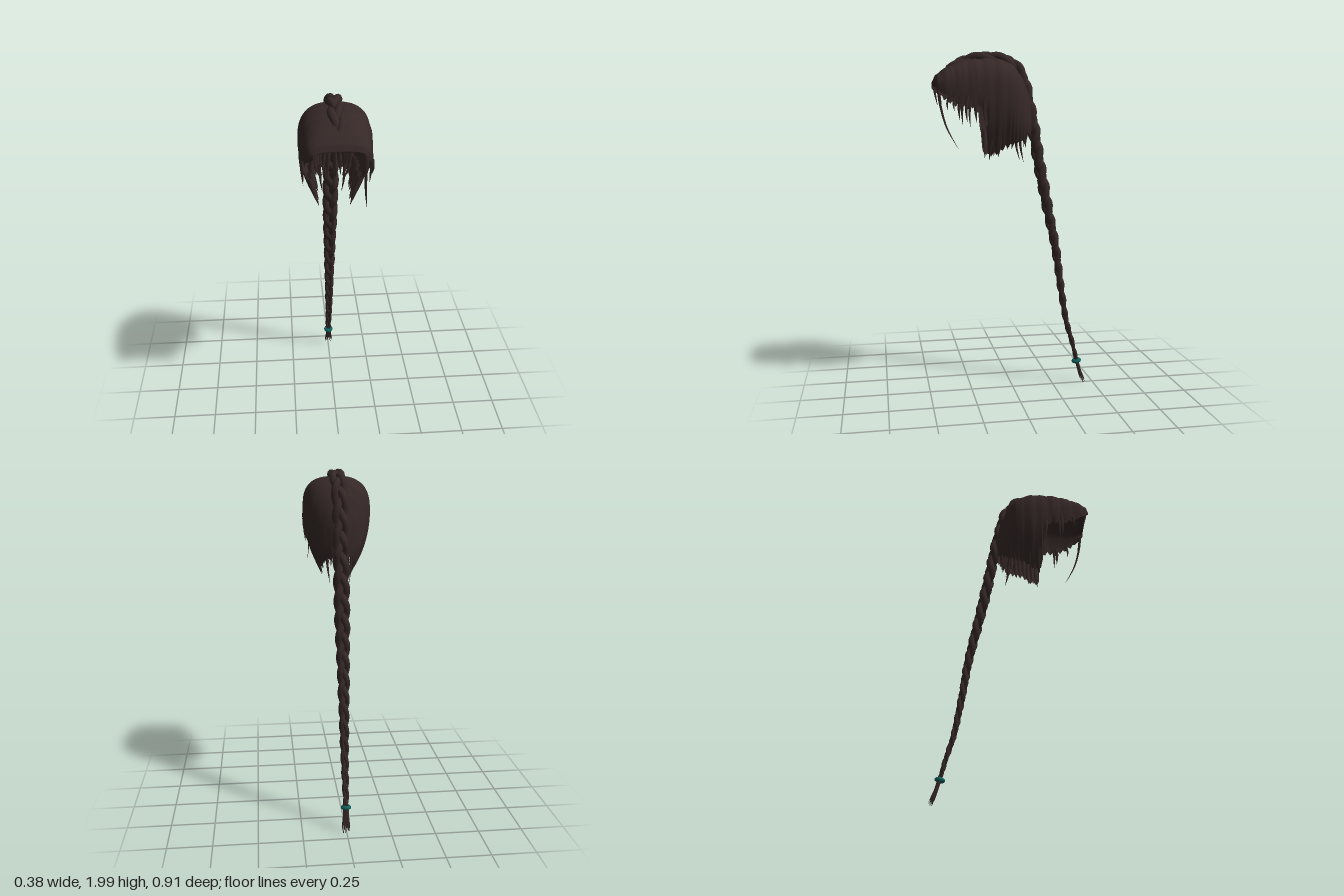
import * as THREE from 'three';

const hair = new THREE.MeshStandardMaterial({ color: 0x352827, side: THREE.DoubleSide });
hair.name = 'dark brown hair';
const teal = new THREE.MeshStandardMaterial({ color: 0x11625f });
teal.name = 'teal band';

const lerp = THREE.MathUtils.lerp;
const curveOf = (pts) => new THREE.CatmullRomCurve3(pts.map((p) => new THREE.Vector3(...p)));

// Tube whose radius follows a rule along its length
function sweep(curve, segments, sides, radius) {
  const geo = new THREE.TubeGeometry(curve, segments, 1, sides);
  const pos = geo.attributes.position;
  const v = new THREE.Vector3();
  for (let i = 0; i <= segments; i++) {
    const c = curve.getPointAt(i / segments);
    const r = radius(i / segments);
    for (let j = 0; j <= sides; j++) {
      const k = i * (sides + 1) + j;
      v.fromBufferAttribute(pos, k).sub(c).multiplyScalar(r).add(c);
      pos.setXYZ(k, v.x, v.y, v.z);
    }
  }
  return geo;
}

function add(group, name, geo, mat = hair) {
  const mesh = new THREE.Mesh(geo, mat);
  mesh.name = name;
  group.add(mesh);
  return mesh;
}

// Tapered loose lock through a few points
function lock(group, name, pts, r) {
  add(group, name, sweep(curveOf(pts), 10, 6, (t) => r * Math.max(0.04, 1 - t * t)));
}

// Cap sections: z, half width, top, bottom, half width at bottom.
// The first few roll under the front edge, then the rest run to the nape.
const SECTIONS = [
  [0.24, 0.168, 1.925, 1.71, 0.165], [0.34, 0.15, 1.875, 1.74, 0.15], [0.42, 0.125, 1.825, 1.785, 0.125],
  [0.455, 0.125, 1.835, 1.8, 0.125], [0.44, 0.15, 1.868, 1.785, 0.148], [0.4, 0.165, 1.9, 1.755, 0.163],
  [0.34, 0.175, 1.93, 1.72, 0.172], [0.28, 0.182, 1.947, 1.69, 0.178], [0.22, 0.187, 1.957, 1.7, 0.18],
  [0.175, 0.188, 1.96, 1.65, 0.175], [0.16, 0.189, 1.96, 1.42, 0.09], [0.1, 0.19, 1.96, 1.44, 0.092],
  [0.04, 0.18, 1.945, 1.48, 0.095], [0, 0.165, 1.92, 1.48, 0.1], [-0.04, 0.135, 1.87, 1.5, 0.09],
  [-0.075, 0.095, 1.8, 1.52, 0.07], [-0.1, 0.05, 1.73, 1.54, 0.04], [-0.11, 0, 1.66, 1.58, 0],
];

// Point on one section; u runs from one lower edge over the crown to the other
function capPoint([z, w, top, bottom, wb], u) {
  const shoulder = Math.max(bottom + 0.3 * (top - bottom), top - 0.2);
  const side = u < 0.5 ? 1 : -1;
  const h = Math.min(u, 1 - u);
  if (h < 0.22) {
    const s = 1 - h / 0.22;
    return [side * lerp(w, wb, s * s), lerp(shoulder, bottom, s), z];
  }
  const a = ((h - 0.22) / 0.28) * Math.PI / 2;
  return [side * w * Math.max(0, Math.cos(a)) ** 0.72, shoulder + (top - shoulder) * Math.sin(a) ** 0.75, z];
}

function capGeometry() {
  const SUB = 6, N = 56, verts = [], index = [];
  const rows = (SECTIONS.length - 1) * SUB;
  for (let i = 0; i <= rows; i++) {
    const k = Math.min(Math.floor(i / SUB), SECTIONS.length - 2);
    const f = i / SUB - k;
    const sec = SECTIONS[k].map((a, n) => lerp(a, SECTIONS[k + 1][n], f));
    // ragged hem
    if (k > 4) sec[3] += 0.012 * Math.sin(i * 1.9);
    for (let j = 0; j <= N; j++) {
      const u = j / N;
      const p = capPoint(sec, u);
      // overlapping combed bands
      const bump = k < 3 ? 0 : 0.02 * Math.abs(Math.sin(sec[0] * 42 + 1.2 * Math.sin(u * Math.PI))) - 0.008;
      verts.push(p[0] * (1 + bump), p[1] + (p[1] - 1.75) * bump * 1.2, p[2]);
    }
  }
  for (let i = 0; i < rows; i++) {
    for (let j = 0; j < N; j++) {
      const a = i * (N + 1) + j, b = a + N + 1;
      index.push(a, a + 1, b, b, a + 1, b + 1);
    }
  }
  const geo = new THREE.BufferGeometry();
  geo.setAttribute('position', new THREE.Float32BufferAttribute(verts, 3));
  geo.setIndex(index);
  geo.computeVertexNormals();
  return geo;
}

// Centre line of the braid, from the forehead over the crown and down the back
const SPINE = curveOf([
  [0, 1.87, 0.39], [0, 1.935, 0.3], [0, 1.965, 0.2], [0, 1.966, 0.1], [0, 1.935, 0.0], [0, 1.85, -0.06],
  [0, 1.74, -0.088], [0, 1.6, -0.118], [0, 1.38, -0.155], [0, 1.15, -0.2], [0, 0.85, -0.262],
  [0, 0.62, -0.295], [0, 0.4, -0.333], [0, 0.27, -0.37], [0, 0.15, -0.4],
]);
const braidWidth = (t) => (t < 0.5 ? 0.047 : lerp(0.047, 0.017, (t - 0.5) / 0.5));

class BraidStrand extends THREE.Curve {
  constructor(offset) {
    super();
    this.offset = offset;
    this.arcLengthDivisions = 600;
  }
  getPoint(t, target = new THREE.Vector3()) {
    const p = SPINE.getPointAt(t), d = SPINE.getTangentAt(t);
    const phase = 2 * Math.PI * (5.2 * t + 1.8 * t * t) + this.offset;
    const w = braidWidth(t);
    const depth = 0.27 * w * Math.sin(2 * phase);
    return target.set(0.54 * w * Math.sin(phase), p.y - d.z * depth, p.z + d.y * depth);
  }
}

export function createModel() {
  const model = new THREE.Group();
  model.name = 'braidedHair';

  add(model, 'hairCap', capGeometry());

  // Three-strand braid
  const braid = new THREE.Group();
  braid.name = 'braid';
  model.add(braid);
  for (let k = 0; k < 3; k++) {
    const geo = sweep(new BraidStrand((k * 2 * Math.PI) / 3), 280, 9,
      (t) => braidWidth(t) * 0.47 * Math.min(1, 0.3 + t * 40));
    add(braid, 'braidStrand', geo);
  }

  // Band and loose end of the braid
  const band = add(model, 'hairBand', new THREE.TorusGeometry(0.017, 0.012, 10, 24), teal);
  band.position.set(0, 0.152, -0.398);
  band.rotation.x = Math.PI / 2 + 0.2;
  for (let i = 0; i < 9; i++) {
    const a = i * 2.4, r = 0.008 + 0.0018 * i;
    const x = Math.cos(a) * r, z = Math.sin(a) * r * 0.6;
    lock(model, 'braidTip', [
      [x * 0.4, 0.16, -0.398 + z * 0.3], [x * 0.7, 0.09, -0.418 + z * 0.5],
      [x * 1.1, 0.05, -0.432 + z], [x * 1.1 + 0.004 * Math.sin(i * 3), 0.012 + 0.004 * (i % 4), -0.443 + z]], 0.008);
  }

  for (const s of [1, -1]) {
    // Locks along the nape hem
    for (let i = 0; i < 9; i++) {
      const z = 0.145 - i * 0.026;
      const b = 1.4 + i * 0.014 + 0.012 * Math.sin(i * 2.3);
      const x = 0.092 - Math.max(0, i - 5) * 0.014;
      lock(model, 'napeLock', [[s * (x + 0.045 - i * 0.003), b + 0.16, z], [s * (x + 0.02), b + 0.08, z],
        [s * (x - 0.008), b - 0.005, z + 0.006]], 0.017);
    }
    // Temple wisps
    [[0.29, 1.61, 0.012], [0.272, 1.575, 0.009], [0.19, 1.6, 0.014], [0.36, 1.67, 0.008]].forEach(([z, tip, r]) => {
      lock(model, 'templeWisp', [[s * 0.174, 1.75, z - 0.01], [s * 0.178, (1.75 + tip) / 2, z], [s * 0.172, tip, z - 0.005]], r);
    });
    // Wisp beside the braid
    lock(model, 'napeWisp', [[s * 0.07, 1.56, -0.03], [s * 0.066, 1.47, -0.033], [s * 0.055, 1.38, -0.052]], 0.009);
    // Short wisps at the forehead
    lock(model, 'foreheadWisp', [[s * 0.135, 1.8, 0.44], [s * 0.14, 1.75, 0.43], [s * 0.137, 1.7, 0.42]], 0.007);
    // Inner back layer behind the neck
    for (let i = 0; i < 3; i++) {
      const x = 0.02 + i * 0.025;
      lock(model, 'innerLock', [[s * x, 1.72, -0.07 + i * 0.01], [s * x, 1.6, -0.075 + i * 0.012],
        [s * (x + 0.005), 1.46 + i * 0.02, -0.07 + i * 0.01]], 0.02);
    }
  }

  // Long strand by the face
  lock(model, 'faceStrand', [[0.132, 1.8, 0.44], [0.133, 1.7, 0.427], [0.14, 1.58, 0.395], [0.156, 1.46, 0.332]], 0.008);

  return model;
}
